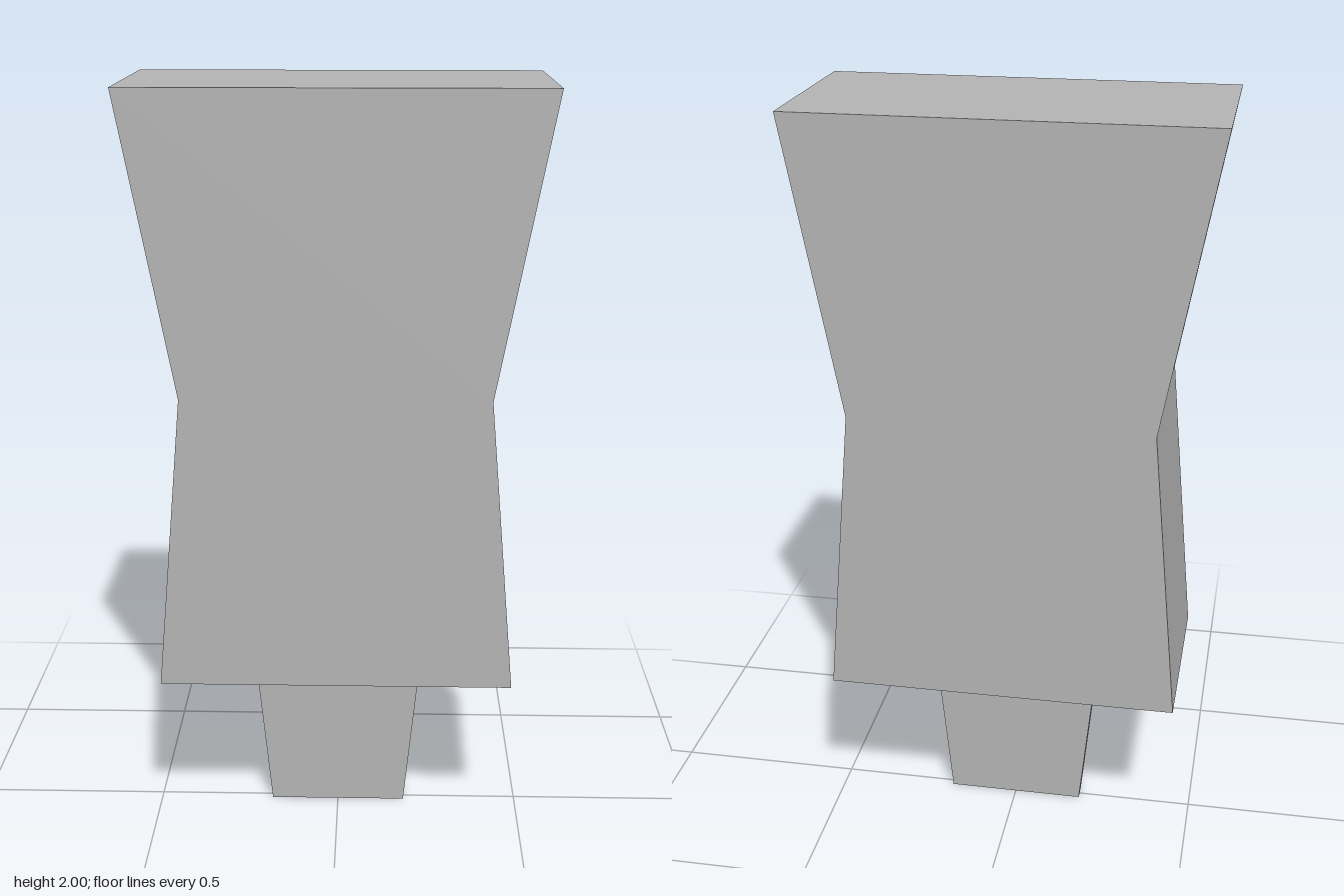
import * as THREE from 'three';

// Extrude a left-right symmetric outline, given as [halfWidth, y] from bottom to top, centred on z = 0
function symmetricSlab(name, profile, depth, material) {
  const right = profile.map(([x, y]) => new THREE.Vector2(x, y));
  const left = profile.map(([x, y]) => new THREE.Vector2(-x, y)).reverse();
  const geometry = new THREE.ExtrudeGeometry(new THREE.Shape([...right, ...left]), {
    depth,
    bevelEnabled: false,
  });
  geometry.translate(0, 0, -depth / 2);
  const mesh = new THREE.Mesh(geometry, material);
  mesh.name = name;
  return mesh;
}

export function createModel() {
  const model = new THREE.Group();
  model.name = 'waistedBlock';

  const grey = new THREE.MeshStandardMaterial({ color: 0xb3b3b3 });
  grey.name = 'grey';

  // Thick block, pinched at the waist
  model.add(symmetricSlab('body', [[0.459, 0.47], [0.389, 1.245], [0.528, 2]], 0.514, grey));

  // Thin tapered tongue below
  model.add(symmetricSlab('tongue', [[0.185, 0], [0.232, 0.47]], 0.04, grey));

  return model;
}
